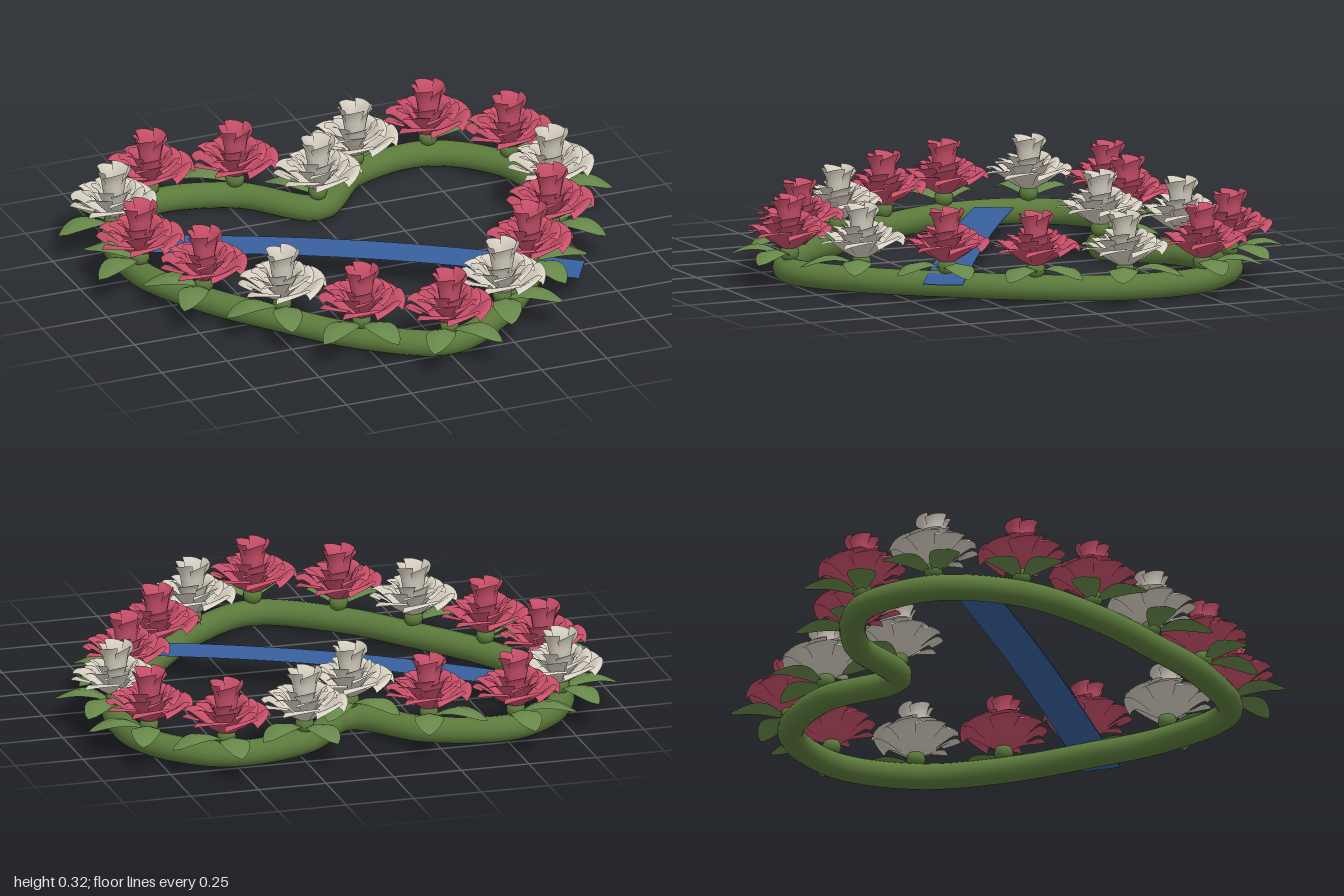
import * as THREE from 'three';
import { mergeGeometries } from 'three/addons/utils/BufferGeometryUtils.js';

const mat = (color) => new THREE.MeshStandardMaterial({ color, side: THREE.DoubleSide });
const GREEN = mat(0x5c7a3c), LEAF = mat(0x67874a), RED = mat(0xc9506a), WHITE = mat(0xd9d2c4), BLUE = mat(0x38609f);

// Flower centres on the right half, from the notch round to the tip: x, z, left and right colours
const HALF = [
  [0, -0.455, WHITE, WHITE], [0.23, -0.665, WHITE, RED], [0.535, -0.72, RED, RED],
  [0.76, -0.515, RED, WHITE], [0.79, -0.2, WHITE, RED], [0.665, 0.09, RED, RED],
  [0.475, 0.35, RED, WHITE], [0.27, 0.59, WHITE, RED], [0, 0.75, RED, RED],
];
const SPOTS = [
  ...HALF.map(([x, z, c]) => ({ x, z, c })),
  ...HALF.slice(1, -1).reverse().map(([x, z, , c]) => ({ x: -x, z, c })),
];

// Curved sheet: rule(u in -1..1, v in 0..1) gives a point
function sheet(nu, nv, rule) {
  const g = new THREE.PlaneGeometry(2, 1, nu, nv);
  const p = g.attributes.position;
  for (let i = 0; i < p.count; i++) p.setXYZ(i, ...rule(p.getX(i), p.getY(i) + 0.5));
  g.computeVertexNormals();
  return g;
}

// Ring of overlapping petals; the profile holds [radius, height] from base to rim
function petalRing(count, profile, tilt, turn) {
  const curve = new THREE.SplineCurve(profile.map(([r, y]) => new THREE.Vector2(r, y)));
  const petals = [];
  for (let i = 0; i < count; i++) {
    const mid = turn + (i / count) * Math.PI * 2;
    petals.push(sheet(6, 7, (u, v) => {
      const q = curve.getPoint(v);
      const a = mid + u * (Math.PI / count) * 1.12;
      const r = q.x * (1 - 0.03 * u * v);
      const y = q.y + tilt * v * v * (u - 0.5 * u * u);
      return [Math.sin(a) * r, y, Math.cos(a) * r];
    }));
  }
  return mergeGeometries(petals);
}

// Leaf along +z with a folded midrib, arching up and drooping to its point
const leafGeo = sheet(4, 10, (u, v) => {
  const w = 0.056 * Math.pow(Math.sin(Math.PI * Math.pow(v, 1.15)), 0.75) * (1 - 0.15 * v);
  const y = 0.098 + 0.042 * Math.sin(Math.PI * Math.min(1, v * 1.02)) - 0.012 * Math.abs(u) * Math.sin(Math.PI * v);
  return [u * w, y, 0.01 + 0.212 * v];
});

const blossomGeo = mergeGeometries([
  petalRing(8, [[0.015, 0.125], [0.06, 0.15], [0.11, 0.19], [0.14, 0.207], [0.155, 0.2]], 0.014, 0),
  petalRing(7, [[0.012, 0.135], [0.05, 0.175], [0.085, 0.22], [0.112, 0.228]], 0.013, 0.3),
  petalRing(6, [[0.01, 0.145], [0.04, 0.19], [0.06, 0.235], [0.08, 0.248]], 0.01, 0.1),
  petalRing(5, [[0.008, 0.155], [0.032, 0.2], [0.041, 0.25], [0.048, 0.285], [0.062, 0.312]], 0.01, 0.5),
]);
const calyxGeo = new THREE.SphereGeometry(0.034, 16, 10).translate(0, 0.113, 0);
const pistilGeo = new THREE.ConeGeometry(0.022, 0.06, 3).translate(0, 0.22, 0);

function add(parent, name, geo, material) {
  const m = new THREE.Mesh(geo, material);
  m.name = name;
  parent.add(m);
  return m;
}

export function createModel() {
  const model = new THREE.Group();
  model.name = 'heartWreath';

  // Heart-shaped ring
  const path = new THREE.CatmullRomCurve3(SPOTS.map(({ x, z }) => new THREE.Vector3(x, 0.047, z)), true);
  add(model, 'heartRing', new THREE.TubeGeometry(path, 160, 0.047, 16, true), GREEN);

  // Flowers, each with a pair of leaves spreading outward
  for (const { x, z, c } of SPOTS) {
    const flower = new THREE.Group();
    flower.name = 'flower';
    flower.position.set(x, 0, z);
    flower.rotation.y = Math.atan2(x, z + 0.05);
    add(flower, 'petals', blossomGeo, c);
    add(flower, 'calyx', calyxGeo, GREEN);
    add(flower, 'pistil', pistilGeo, LEAF);
    for (const s of [-1, 1]) add(flower, 'leaf', leafGeo, LEAF).rotation.y = s * 0.64;
    model.add(flower);
  }

  // Sash across the heart, arched slightly
  const a = new THREE.Vector2(-0.71, -0.36), b = new THREE.Vector2(0.64, 0.44);
  const side = b.clone().sub(a).normalize().multiplyScalar(0.071);
  const sash = (lift) => sheet(2, 24, (u, v) => [
    a.x + (b.x - a.x) * v - side.y * u,
    0.076 + lift + 0.028 * Math.sin(Math.PI * v),
    a.y + (b.y - a.y) * v + side.x * u,
  ]);
  add(model, 'sash', mergeGeometries([sash(0), sash(0.003)]), BLUE);
  return model;
}
